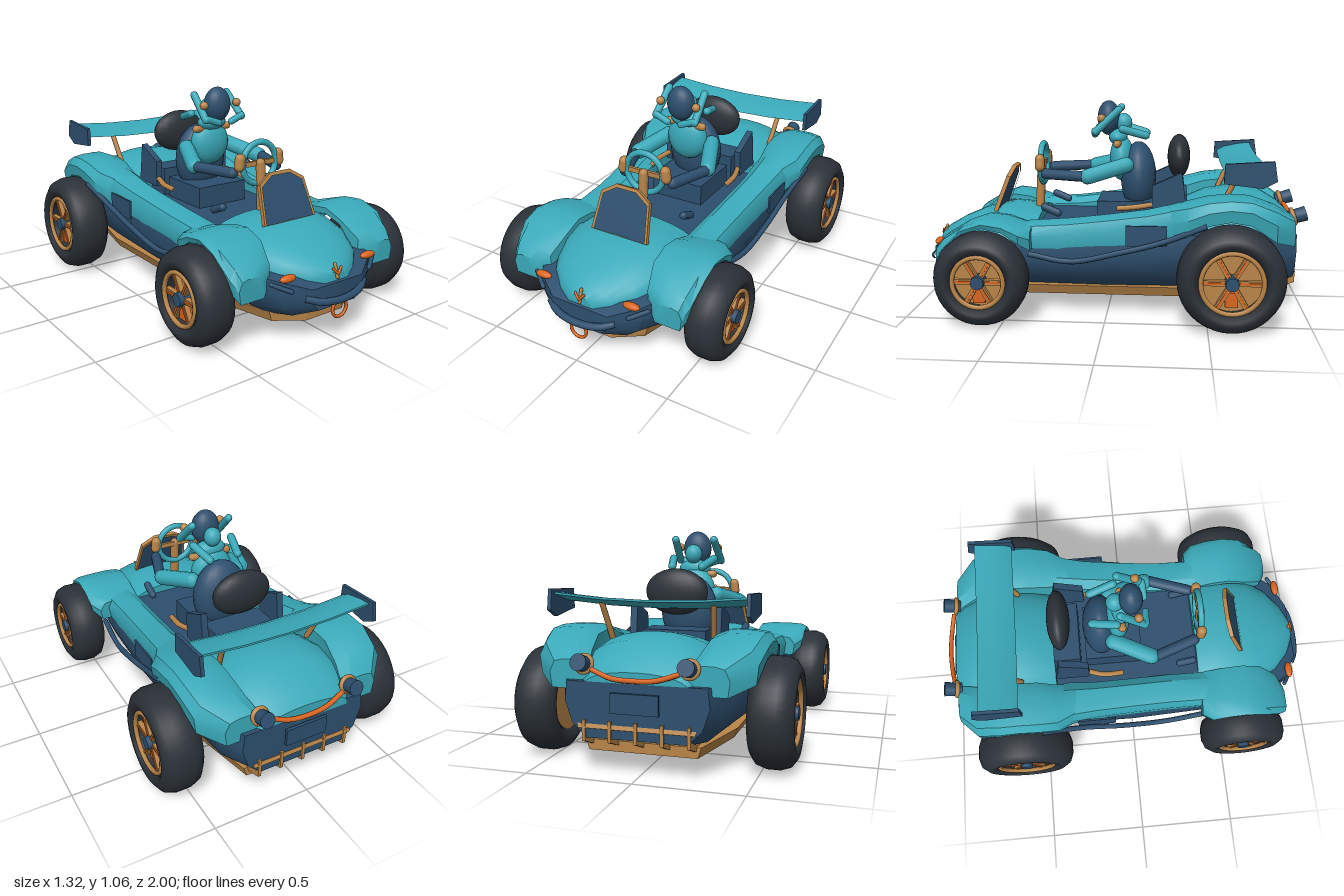
import * as THREE from 'three';
import { toCreasedNormals } from 'three/addons/utils/BufferGeometryUtils.js';

const mat = (name, color) => Object.assign(new THREE.MeshStandardMaterial({ color }), { name });
const V = (p) => new THREE.Vector3(...p);

export function createModel() {
  const teal = mat('teal', 0x3aa9b9), navy = mat('navy', 0x2d4f6e), tan = mat('tan', 0xb98549);
  const orange = mat('orange', 0xd9641f), black = mat('rubber', 0x2b3138);
  const root = new THREE.Group();
  root.name = 'buggy';

  const add = (name, geo, m, pos = [0, 0, 0], parent = root) => {
    const mesh = new THREE.Mesh(geo, m);
    mesh.name = name;
    mesh.position.set(...pos);
    parent.add(mesh);
    return mesh;
  };
  const box = (name, size, m, pos, parent) => add(name, new THREE.BoxGeometry(...size), m, pos, parent);
  const ball = (name, r, m, pos) => {
    const mesh = add(name, new THREE.SphereGeometry(1, 20, 14), m, pos);
    mesh.scale.set(...r);
    return mesh;
  };
  const tube = (name, pts, r, m) =>
    add(name, new THREE.TubeGeometry(new THREE.CatmullRomCurve3(pts.map(V)), 24, r, 8), m);
  // Capsule between two points
  const limb = (name, a, b, r, m) => {
    const d = V(b).sub(V(a));
    const mesh = add(name, new THREE.CapsuleGeometry(r, d.length(), 4, 10), m);
    mesh.position.copy(V(a)).addScaledVector(d, 0.5);
    mesh.quaternion.setFromUnitVectors(new THREE.Vector3(0, 1, 0), d.normalize());
    return mesh;
  };
  // Closed solid through matching rings of points, wound outward
  const loft = (name, rings, m, crease = 0.6) => {
    const n = rings[0].length, pos = rings.flat(2), tris = [];
    for (let i = 0; i < rings.length - 1; i++)
      for (let j = 0; j < n; j++) {
        const a = i * n + j, b = i * n + (j + 1) % n;
        tris.push([a, b, b + n], [a, b + n, a + n]);
      }
    const e = (rings.length - 1) * n;
    for (let j = 1; j < n - 1; j++) tris.push([0, j + 1, j], [e, e + j, e + j + 1]);
    const P = (i) => new THREE.Vector3().fromArray(pos, i * 3);
    const volume = tris.reduce((s, [a, b, c]) => s + P(a).dot(P(b).cross(P(c))), 0);
    const geo = new THREE.BufferGeometry();
    geo.setAttribute('position', new THREE.Float32BufferAttribute(pos, 3));
    geo.setIndex(tris.flatMap((t) => (volume < 0 ? [t[0], t[2], t[1]] : t)));
    return add(name, toCreasedNormals(geo, crease), m);
  };

  // Lower tub: z, half width, bottom, top
  loft('lowerBody', [
    [0.95, 0.16, 0.17, 0.28], [0.87, 0.29, 0.14, 0.32], [0.75, 0.37, 0.13, 0.34], [0.4, 0.42, 0.13, 0.37],
    [0, 0.44, 0.13, 0.4], [-0.4, 0.44, 0.14, 0.43], [-0.8, 0.4, 0.15, 0.43], [-0.94, 0.33, 0.17, 0.42],
  ].map(([z, w, b, t]) => [[-0.7, 0], [-0.9, 0.25], [-1, 0.65], [-0.97, 1], [0.97, 1], [1, 0.65], [0.9, 0.25], [0.7, 0]]
    .map(([x, y]) => [x * w, b + (t - b) * y, z])), navy);

  // Domed panels: z, half width, bottom, crown
  const dome = (name, rows) => loft(name, rows.map(([z, w, b, t]) =>
    Array.from({ length: 13 }, (_, i) => {
      const a = Math.PI * i / 12;
      return [w * Math.cos(a), b + (t - b) * Math.sin(a) ** 0.75, z];
    })), teal, 0.7);
  dome('hood', [[0.94, 0.07, 0.28, 0.33], [0.9, 0.15, 0.28, 0.37], [0.82, 0.24, 0.3, 0.415],
    [0.7, 0.31, 0.32, 0.465], [0.55, 0.335, 0.34, 0.5], [0.45, 0.325, 0.35, 0.49], [0.37, 0.3, 0.36, 0.48]]);
  dome('rearDeck', [[-0.4, 0.28, 0.4, 0.54], [-0.5, 0.31, 0.4, 0.585], [-0.65, 0.33, 0.4, 0.61],
    [-0.78, 0.32, 0.4, 0.59], [-0.88, 0.29, 0.39, 0.53], [-0.94, 0.24, 0.39, 0.47]]);

  // Bevelled shell strips: z, inner x, outer x, bottom, top
  const strip = (name, s, rows) => loft(name, rows.map(([z, xi, xo, b, t]) => {
    const h = t - b, w = xo - xi;
    return [[xi, b], [xo - 0.01, b], [xo, b + h * 0.55], [xo - w * 0.12, t - h * 0.08], [xo - w * 0.35, t],
      [xi + w * 0.25, t], [xi, t - h * 0.25]].map(([x, y]) => [s * x, y, z]);
  }), teal);

  // Tyre profile and rim for one wheel, axle along x
  const wheel = (name, s, z, R, rim, x0, x1) => {
    const g = new THREE.Group(), h = (x1 - x0) / 2;
    g.name = name;
    g.position.set(s * (x0 + x1) / 2, R, z);
    g.rotation.z = -s * Math.PI / 2;
    root.add(g);
    const prof = [[rim, -h * 0.8], [rim + 0.03, -h], [R - 0.05, -h * 0.96], [R - 0.015, -h * 0.72], [R, -h * 0.3],
      [R, h * 0.3], [R - 0.015, h * 0.72], [R - 0.05, h * 0.96], [rim + 0.03, h], [rim, h * 0.8], [rim, -h * 0.8]];
    add('tyre', new THREE.LatheGeometry(prof.map((p) => new THREE.Vector2(...p)), 40), black, [0, 0, 0], g);
    add('rimDish', new THREE.CylinderGeometry(rim, rim, h, 32), tan, [0, -h * 0.3, 0], g);
    const ring = add('rimRing', new THREE.TorusGeometry(rim - 0.006, 0.012, 8, 36), tan, [0, h * 0.8, 0], g);
    ring.rotation.x = Math.PI / 2;
    add('hub', new THREE.CylinderGeometry(0.032, 0.036, 0.06, 12), navy, [0, h * 0.65, 0], g);
    for (let i = 0; i < 6; i++) {
      const arm = new THREE.Group();
      arm.name = 'spoke';
      arm.rotation.y = i * Math.PI / 3 + Math.PI / 6;
      g.add(arm);
      box('spokeArm', [rim - 0.03, 0.025, 0.026], tan, [rim / 2 + 0.012, h * 0.6, 0], arm);
      box('spokeInlay', [rim - 0.045, 0.006, 0.01], orange, [rim / 2 + 0.012, h * 0.6 + 0.014, 0], arm);
    }
    box('brakeCaliper', [0.07, 0.03, 0.06], orange, [s * rim * 0.55, h * 0.45, 0], g);
  };

  for (const s of [1, -1]) {
    const side = s > 0 ? 'left' : 'right';
    strip(side + 'FrontFender', s, [[0.84, 0.34, 0.48, 0.25, 0.36], [0.8, 0.28, 0.5, 0.29, 0.41],
      [0.7, 0.25, 0.52, 0.435, 0.47], [0.6, 0.25, 0.52, 0.465, 0.505], [0.5, 0.25, 0.52, 0.445, 0.495],
      [0.42, 0.25, 0.52, 0.39, 0.47], [0.37, 0.25, 0.48, 0.35, 0.455]]);
    strip(side + 'SidePod', s, [[0.42, 0.25, 0.43, 0.35, 0.465], [0.2, 0.25, 0.43, 0.35, 0.48],
      [0, 0.26, 0.44, 0.37, 0.505], [-0.2, 0.27, 0.455, 0.39, 0.535], [-0.36, 0.27, 0.48, 0.42, 0.575]]);
    strip(side + 'RearFender', s, [[-0.3, 0.28, 0.46, 0.42, 0.56], [-0.4, 0.28, 0.52, 0.44, 0.59],
      [-0.5, 0.27, 0.53, 0.5, 0.615], [-0.6, 0.27, 0.53, 0.52, 0.625], [-0.7, 0.27, 0.53, 0.505, 0.62],
      [-0.82, 0.25, 0.51, 0.42, 0.575], [-0.92, 0.22, 0.41, 0.38, 0.51]]);
    wheel(side + 'FrontWheel', s, 0.595, 0.23, 0.13, 0.45, 0.645);
    wheel(side + 'RearWheel', s, -0.605, 0.257, 0.152, 0.45, 0.66);

    // Side bar and panel
    tube(side + 'SideBar', [[0.455, 0.33, 0.38], [0.47, 0.3, 0.17], [0.485, 0.35, -0.06], [0.49, 0.41, -0.28],
      [0.52, 0.5, -0.49]].map(([x, y, z]) => [s * x, y, z]), 0.014, navy);
    box(side + 'SidePanel', [0.009, 0.1, 0.2], navy, [s * 0.47, 0.435, -0.2]);

    // Front lamps and bumper stubs
    ball(side + 'Headlamp', [0.045, 0.018, 0.02], orange, [s * 0.25, 0.337, 0.89]);
    limb(side + 'BumperStub', [s * 0.32, 0.315, 0.86], [s * 0.245, 0.28, 0.91], 0.011, navy);

    // Exhausts
    const pipe = add(side + 'Exhaust', new THREE.CylinderGeometry(0.038, 0.034, 0.09, 16), navy, [s * 0.24, 0.5, -0.95]);
    pipe.rotation.x = -Math.PI / 2 + 0.3;
    const lip = add(side + 'ExhaustRing', new THREE.TorusGeometry(0.036, 0.012, 8, 20), tan, [s * 0.24, 0.495, -0.93]);
    lip.rotation.x = 0.3;

    // Wing mounts and end plates
    limb(side + 'WingStrut', [s * 0.25, 0.56, -0.58], [s * 0.27, 0.74, -0.66], 0.014, tan);
    loft(side + 'WingEndPlate', [0.452, 0.47].map((x) => [[-0.57, 0.79], [-0.8, 0.805], [-0.815, 0.71],
      [-0.75, 0.675], [-0.565, 0.695]].map(([z, y]) => [s * x, y, z])), navy);

    // Cockpit sides
    loft(side + 'SeatSidePanel', [0.2, 0.235].map((x) => [[-0.22, 0.5], [-0.22, 0.64], [-0.37, 0.71], [-0.4, 0.5]]
      .map(([z, y]) => [s * x, y, z])), navy);
    tube(side + 'CockpitTrim', [[0.22, 0.54, -0.22], [0.24, 0.53, -0.14], [0.235, 0.52, -0.04]]
      .map(([x, y, z]) => [s * x, y, z]), 0.014, tan);
    limb(side + 'Lever', [s * 0.2, 0.515, 0.34], [s * 0.2, 0.485, 0.27], 0.02, navy);

    // Driver arms
    limb(side + 'UpperArm', [s * 0.13, 0.73, -0.08], [s * 0.21, 0.68, 0.11], 0.042, teal);
    limb(side + 'Forearm', [s * 0.21, 0.68, 0.14], [s * 0.14, 0.68, 0.34], 0.028, navy);
    limb(side + 'Hand', [s * 0.125, 0.715, 0.375], [s * 0.12, 0.755, 0.375], 0.026, tan);
    limb(side + 'ShoulderStrap', [s * 0.04, 0.83, -0.04], [s * 0.1, 0.835, -0.03], 0.02, tan);
    // Head guard
    limb(side + 'GuardBar', [s * 0.105, 1.015, -0.04], [s * 0.115, 0.9, 0.08], 0.02, teal);
    limb(side + 'GuardFront', [s * 0.11, 0.905, 0.085], [s * 0.04, 0.88, 0.09], 0.018, teal);
    limb(side + 'GuardRear', [s * 0.11, 0.915, -0.06], [s * 0.08, 0.88, -0.18], 0.021, teal);
    ball(side + 'GuardKnob', [0.022, 0.022, 0.022], tan, [s * 0.105, 0.97, 0.05]);
  }

  // Undertray and diffuser
  const plan = [[0.12, 0.87], [0.26, 0.78], [0.35, 0.45], [0.35, -0.5], [0.27, -0.86]];
  const outline = [...plan, ...plan.map(([x, z]) => [-x, z]).reverse()];
  loft('undertray', [[0.09, 0.94], [0.14, 1]].map(([y, k]) => outline.map(([x, z]) => [x * k, y, z])), tan);
  for (let i = -2; i <= 2; i++)
    loft('diffuserFin', [-0.008, 0.008].map((d) => [[-0.7, 0.1], [-0.86, 0.12], [-0.95, 0.155], [-0.95, 0.25], [-0.85, 0.25]]
      .map(([z, y]) => [i * 0.12 + d, y, z])), tan);
  box('diffuserPlate', [0.54, 0.02, 0.14], tan, [0, 0.2, -0.88]).rotation.x = 0.35;

  // Nose details
  tube('frontBumper', [[-0.185, 0.24, 0.93], [-0.12, 0.22, 0.965], [0, 0.21, 0.98], [0.12, 0.22, 0.965],
    [0.185, 0.24, 0.93]], 0.018, navy);
  add('towRing', new THREE.TorusGeometry(0.043, 0.008, 8, 24), orange, [0, 0.16, 0.965]);
  limb('noseSpike', [0, 0.3, 0.945], [0, 0.36, 0.925], 0.008, tan);
  for (const s of [1, -1]) limb('noseMark', [0, 0.32, 0.95], [s * 0.025, 0.345, 0.94], 0.006, orange);

  // Tail details
  tube('rearLightBar', [[-0.2, 0.475, -0.945], [-0.1, 0.445, -0.965], [0, 0.44, -0.972], [0.1, 0.445, -0.965],
    [0.2, 0.475, -0.945]], 0.012, orange);
  box('rearPlate', [0.22, 0.09, 0.015], navy, [0, 0.335, -0.955]);

  // Rear wing
  loft('rearWing', [-0.455, -0.23, 0, 0.23, 0.455].map((x) => {
    const y = 0.735 + 0.025 * (x / 0.455) ** 2;
    return [[-0.58, -0.02], [-0.62, 0.002], [-0.7, 0.02], [-0.77, 0.028], [-0.77, 0.018], [-0.69, -0.005], [-0.62, -0.024]]
      .map(([z, dy]) => [x, y + dy, z]);
  }), teal);

  // Windscreen
  const screen = (k) => new THREE.Shape([[-0.16, 0], [-0.138, 0.195], [-0.06, 0.245], [0.06, 0.245], [0.138, 0.195], [0.16, 0]]
    .map(([x, y]) => new THREE.Vector2(x * k, y * k)));
  const frame = screen(1);
  frame.holes.push(new THREE.Path(screen(0.92).getPoints().map((p) => p.setY(p.y + 0.002))));
  const wind = new THREE.Group();
  wind.name = 'windscreen';
  wind.position.set(0, 0.48, 0.61);
  wind.rotation.x = -0.36;
  root.add(wind);
  add('windscreenFrame', new THREE.ExtrudeGeometry(frame, { depth: 0.022, bevelEnabled: false }), tan, [0, 0, -0.011], wind);
  add('windscreenPane', new THREE.ExtrudeGeometry(screen(0.95), { depth: 0.009, bevelEnabled: false }), navy, [0, 0, -0.004], wind);

  // Cockpit
  box('cockpitFloor', [0.54, 0.06, 0.8], navy, [0, 0.4, -0.01]);
  box('seatCushion', [0.3, 0.12, 0.3], navy, [0, 0.48, -0.08]);
  ball('seatBack', [0.15, 0.19, 0.095], navy, [0, 0.65, -0.14]);
  box('seatBase', [0.32, 0.16, 0.14], navy, [0, 0.5, -0.33]);
  ball('headrest', [0.16, 0.115, 0.06], black, [0, 0.765, -0.355]);
  add('steeringWheel', new THREE.TorusGeometry(0.105, 0.016, 10, 32), teal, [0, 0.72, 0.375]);
  limb('steeringColumn', [0, 0.46, 0.4], [0, 0.72, 0.385], 0.024, tan);
  box('steeringSpoke', [0.2, 0.025, 0.016], tan, [0, 0.72, 0.375]);

  // Driver
  ball('torso', [0.115, 0.12, 0.065], teal, [0, 0.75, -0.05]);
  ball('collar', [0.085, 0.045, 0.05], teal, [0, 0.865, -0.03]);
  ball('head', [0.075, 0.092, 0.06], navy, [0, 0.965, 0.02]);
  ball('headCap', [0.045, 0.05, 0.045], teal, [0, 0.94, -0.06]);
  return root;
}
